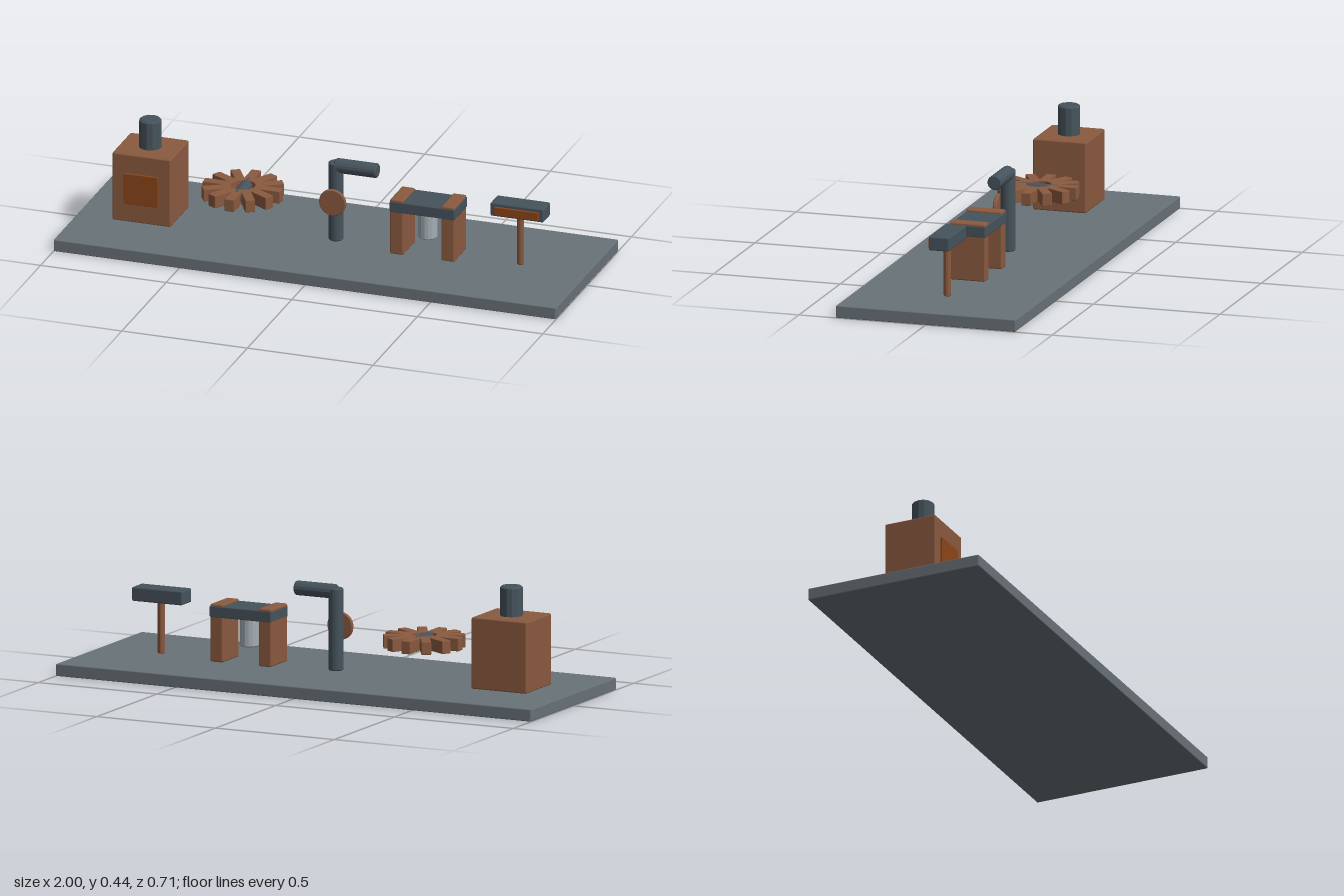
import * as THREE from 'three';
import { RoundedBoxGeometry } from 'three/addons/geometries/RoundedBoxGeometry.js';

const mat = (color, flatShading = false) => {
  const m = new THREE.MeshStandardMaterial({ flatShading });
  m.color.set(color);
  return m;
};

const STEEL = 0x46535c, WOOD = 0x8a5a40, SLATE = 0x697278, RUST = 0x8b4618, SILVER = 0xa4adb3;

// Softened box given by its min and max corners
function box(parent, name, color, [x0, y0, z0], [x1, y1, z1], bevel = 0.004) {
  const g = new RoundedBoxGeometry(x1 - x0, y1 - y0, z1 - z0, 1, bevel);
  const mesh = new THREE.Mesh(g, mat(color));
  mesh.position.set((x0 + x1) / 2, (y0 + y1) / 2, (z0 + z1) / 2);
  mesh.name = name;
  parent.add(mesh);
  return mesh;
}

// Cylinder with chamfered rims, centred, running along the given axis
function rod(parent, name, color, r, length, [x, y, z], axis = 'y', sides = 16, bevel = 0.004) {
  const h = length / 2;
  const profile = [[0, -h], [r - bevel, -h], [r, bevel - h], [r, h - bevel], [r - bevel, h], [0, h]];
  const g = new THREE.LatheGeometry(profile.map(p => new THREE.Vector2(...p)), sides);
  if (axis === 'x') g.rotateZ(-Math.PI / 2);
  if (axis === 'z') g.rotateX(Math.PI / 2);
  const mesh = new THREE.Mesh(g, mat(color, true));
  mesh.position.set(x, y, z);
  mesh.name = name;
  parent.add(mesh);
  return mesh;
}

function section(root, name) {
  const g = new THREE.Group();
  g.name = name;
  root.add(g);
  return g;
}

export function createModel() {
  const root = new THREE.Group();
  root.name = 'workshopMachines';

  box(root, 'basePlate', SLATE, [-1, 0, -0.355], [1, 0.047, 0.355]);

  // Furnace with door and chimney
  const furnace = section(root, 'furnace');
  box(furnace, 'furnaceBody', WOOD, [-0.855, 0.05, -0.105], [-0.622, 0.324, 0.105], 0.006);
  box(furnace, 'furnaceDoor', RUST, [-0.808, 0.125, 0.098], [-0.67, 0.249, 0.113], 0.003);
  rod(furnace, 'chimney', STEEL, 0.043, 0.125, [-0.739, 0.3745, 0], 'y', 12, 0.006);

  // Horizontal wheel: twelve paddles around a cross axle
  const wheel = section(root, 'paddleWheel');
  wheel.position.set(-0.371, 0.194, 0);
  for (let i = 0; i < 12; i++) {
    const arm = section(wheel, 'paddleArm');
    arm.rotation.y = (i / 12) * Math.PI * 2;
    box(arm, 'paddle', WOOD, [0.046, -0.025, -0.019], [0.154, 0.025, 0.019], 0.003);
  }
  rod(wheel, 'axle', STEEL, 0.026, 0.155, [0, 0, 0], 'z', 12);

  // Standing pipe with spout and hand wheel
  const pipe = section(root, 'pipe');
  rod(pipe, 'standPipe', STEEL, 0.029, 0.314, [0, 0.207, 0]);
  rod(pipe, 'spout', STEEL, 0.028, 0.168, [0.083, 0.35, 0], 'x');
  rod(pipe, 'handWheel', WOOD, 0.053, 0.015, [0, 0.213, 0.037], 'z', 20, 0.003);

  // Press: two legs, a beam and a hanging ram
  const press = section(root, 'press');
  for (const side of [-1, 1]) {
    const cx = 0.367 + side * 0.102;
    box(press, 'pressLeg', WOOD, [cx - 0.0265, 0.05, -0.07], [cx + 0.0265, 0.272, 0.07], 0.006);
  }
  box(press, 'pressBeam', STEEL, [0.238, 0.221, -0.072], [0.497, 0.264, 0.072]);
  rod(press, 'ram', SILVER, 0.037, 0.12, [0.365, 0.17, 0]);

  // Display head on a thin post
  const display = section(root, 'display');
  rod(display, 'displayPost', WOOD, 0.014, 0.2, [0.735, 0.15, 0], 'y', 12, 0.003);
  box(display, 'displayHead', STEEL, [0.628, 0.247, -0.041], [0.84, 0.301, 0.041], 0.006);
  box(display, 'displayPanel', RUST, [0.645, 0.253, 0.034], [0.822, 0.288, 0.048], 0.003);

  return root;
}
